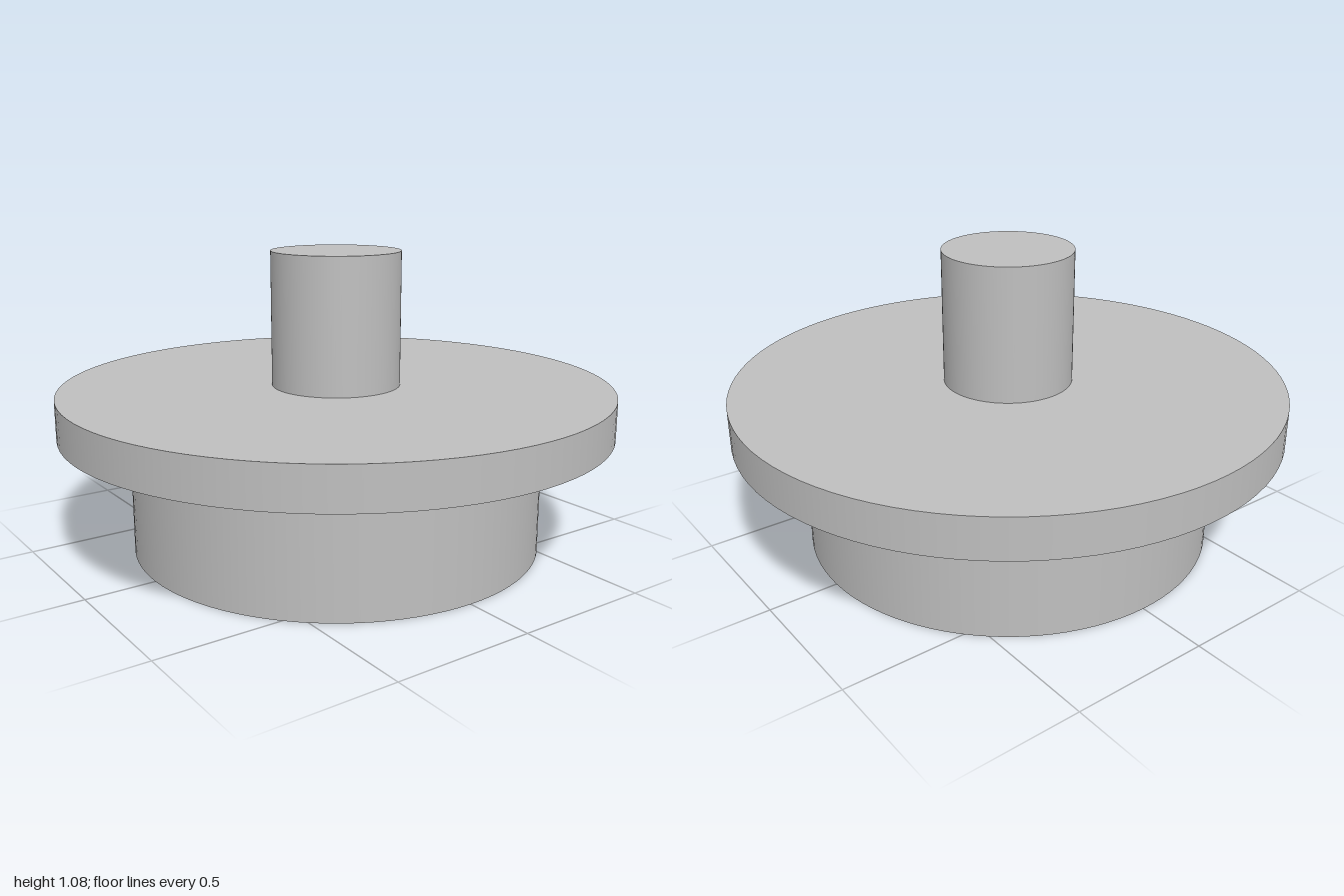
import * as THREE from 'three';

const SEGMENTS = 96;
const BASE_R = 0.75, FLANGE_R = 1, SHAFT_R = 0.234;
const FLANGE_Y = 0.447, SHAFT_Y = 0.591, TOP_Y = 1.077;
const SLOT = { length: 0.7, width: 0.12, depth: 0.07 };

export function createModel() {
  const model = new THREE.Group();
  const grey = new THREE.MeshStandardMaterial({ color: 0xbfbfbf });
  grey.name = 'plain grey';

  const add = (parent, name, geometry) => {
    const mesh = new THREE.Mesh(geometry, grey);
    mesh.name = name;
    parent.add(mesh);
    return mesh;
  };
  const group = (name) => {
    const g = new THREE.Group();
    g.name = name;
    model.add(g);
    return g;
  };
  // Round side wall between two heights
  const wall = (r, y0, y1) =>
    new THREE.CylinderGeometry(r, r, y1 - y0, SEGMENTS, 1, true).translate(0, (y0 + y1) / 2, 0);
  // Turn a flat face in the xy plane to face up (1) or down (-1) at a height
  const level = (geometry, facing, y) => geometry.rotateX(-facing * Math.PI / 2).translate(0, y, 0);

  // Base: round wall and a floor with a slotted opening
  const base = group('base');
  add(base, 'baseWall', wall(BASE_R, 0, FLANGE_Y));
  const floor = new THREE.Shape().absarc(0, 0, BASE_R, 0, Math.PI * 2);
  const l = SLOT.length / 2, w = SLOT.width / 2;
  floor.holes.push(new THREE.Path([[-l, -w], [-l, w], [l, w], [l, -w], [-l, -w]]
    .map(([x, y]) => new THREE.Vector2(x, y))));
  add(base, 'baseFloor', level(new THREE.ShapeGeometry(floor, SEGMENTS / 2), -1, 0));

  // Slot: ceiling and four inward-facing walls
  const slot = group('slot');
  add(slot, 'slotCeiling', level(new THREE.PlaneGeometry(SLOT.length, SLOT.width), -1, SLOT.depth));
  for (let i = 0; i < 4; i++) {
    const long = i % 2 === 0;
    const side = new THREE.PlaneGeometry(long ? SLOT.length : SLOT.width, SLOT.depth)
      .translate(0, SLOT.depth / 2, long ? -w : -l)
      .rotateY(i * Math.PI / 2);
    add(slot, 'slotWall', side);
  }

  // Flange: wide disc with an overhanging underside
  const flange = group('flange');
  add(flange, 'flangeRim', wall(FLANGE_R, FLANGE_Y, SHAFT_Y));
  add(flange, 'flangeUnderside', level(new THREE.RingGeometry(BASE_R, FLANGE_R, SEGMENTS), -1, FLANGE_Y));
  add(flange, 'flangeTop', level(new THREE.RingGeometry(SHAFT_R, FLANGE_R, SEGMENTS), 1, SHAFT_Y));

  // Shaft: central peg
  const shaft = group('shaft');
  add(shaft, 'shaftWall', wall(SHAFT_R, SHAFT_Y, TOP_Y));
  add(shaft, 'shaftTop', level(new THREE.CircleGeometry(SHAFT_R, SEGMENTS), 1, TOP_Y));

  return model;
}
